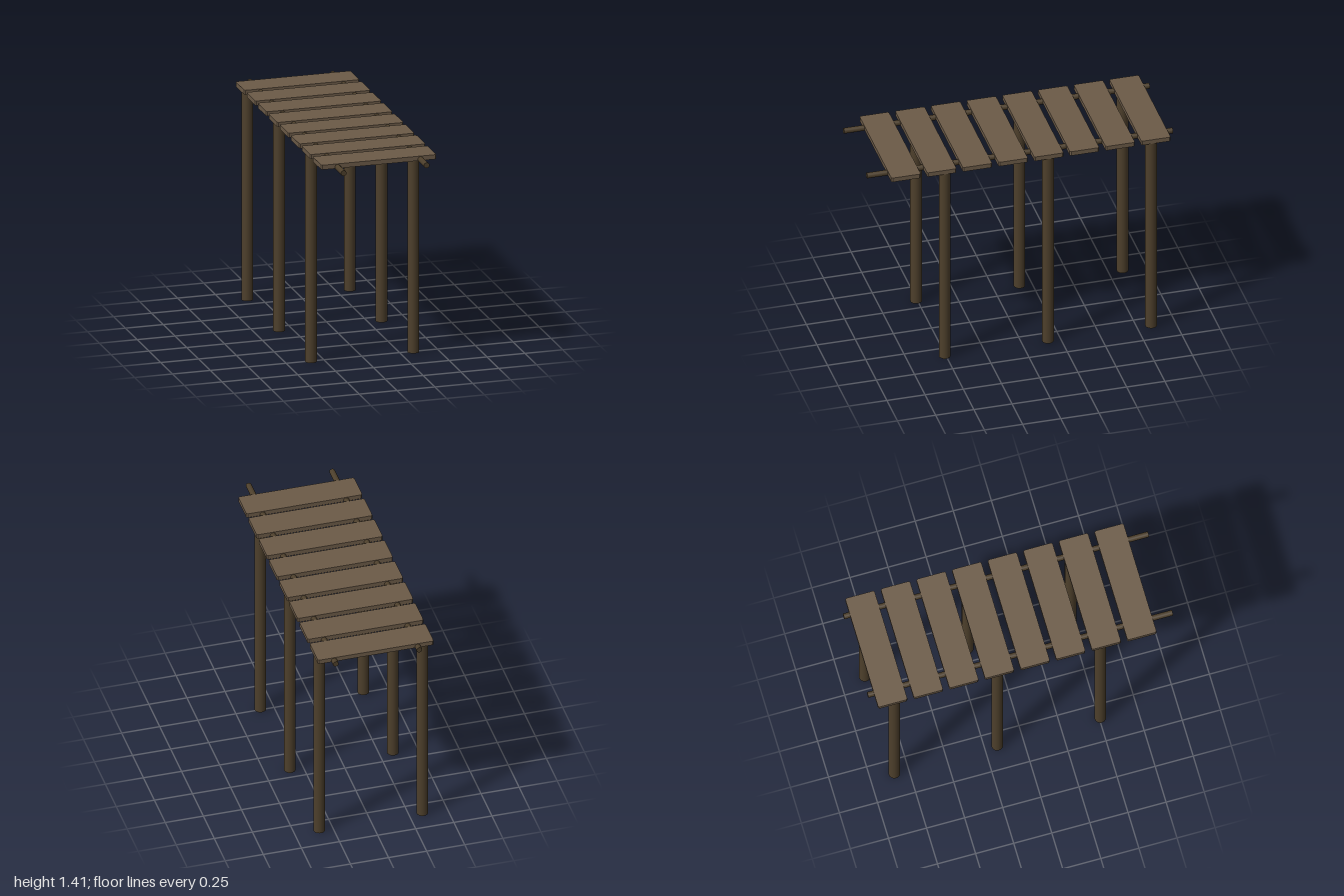
import * as THREE from 'three';

const plankMaterial = new THREE.MeshStandardMaterial({ color: 0x6b5a47 });
const postMaterial = new THREE.MeshStandardMaterial({ color: 0x4d3f2b });

function add(group, name, geometry, material, x, y, z) {
  const mesh = new THREE.Mesh(geometry, material);
  mesh.name = name;
  mesh.position.set(x, y, z);
  group.add(mesh);
}

// Flat board with slightly clipped corners, resting on y = 0
function plankGeometry(width, depth, height, clip) {
  const w = width / 2, d = depth / 2;
  const outline = new THREE.Shape([
    [-w + clip, -d], [w - clip, -d], [w, -d + clip], [w, d - clip],
    [w - clip, d], [-w + clip, d], [-w, d - clip], [-w, -d + clip],
  ].map(([x, y]) => new THREE.Vector2(x, y)));
  return new THREE.ExtrudeGeometry(outline, { depth: height, bevelEnabled: false }).rotateX(-Math.PI / 2);
}

export function createModel() {
  const pier = new THREE.Group();
  pier.name = 'pier';

  // Walkway planks
  const plank = plankGeometry(0.76, 0.192, 0.03, 0.008);
  for (let i = 0; i < 8; i++) {
    add(pier, 'plank', plank, plankMaterial, 0, 1.38, -0.864 + i * 0.2336);
  }

  // Long round rails under the planks and the supporting posts, on both sides
  const rail = new THREE.CylinderGeometry(0.0185, 0.0185, 2, 16).rotateX(Math.PI / 2);
  const post = new THREE.CylinderGeometry(0.037, 0.037, 1.385, 24);
  for (const side of [-1, 1]) {
    add(pier, 'rail', rail, postMaterial, side * 0.274, 1.388, 0);
    for (const z of [0.508, -0.168, -0.843]) {
      add(pier, 'post', post, postMaterial, side * 0.338, 1.385 / 2, z);
    }
  }
  return pier;
}
